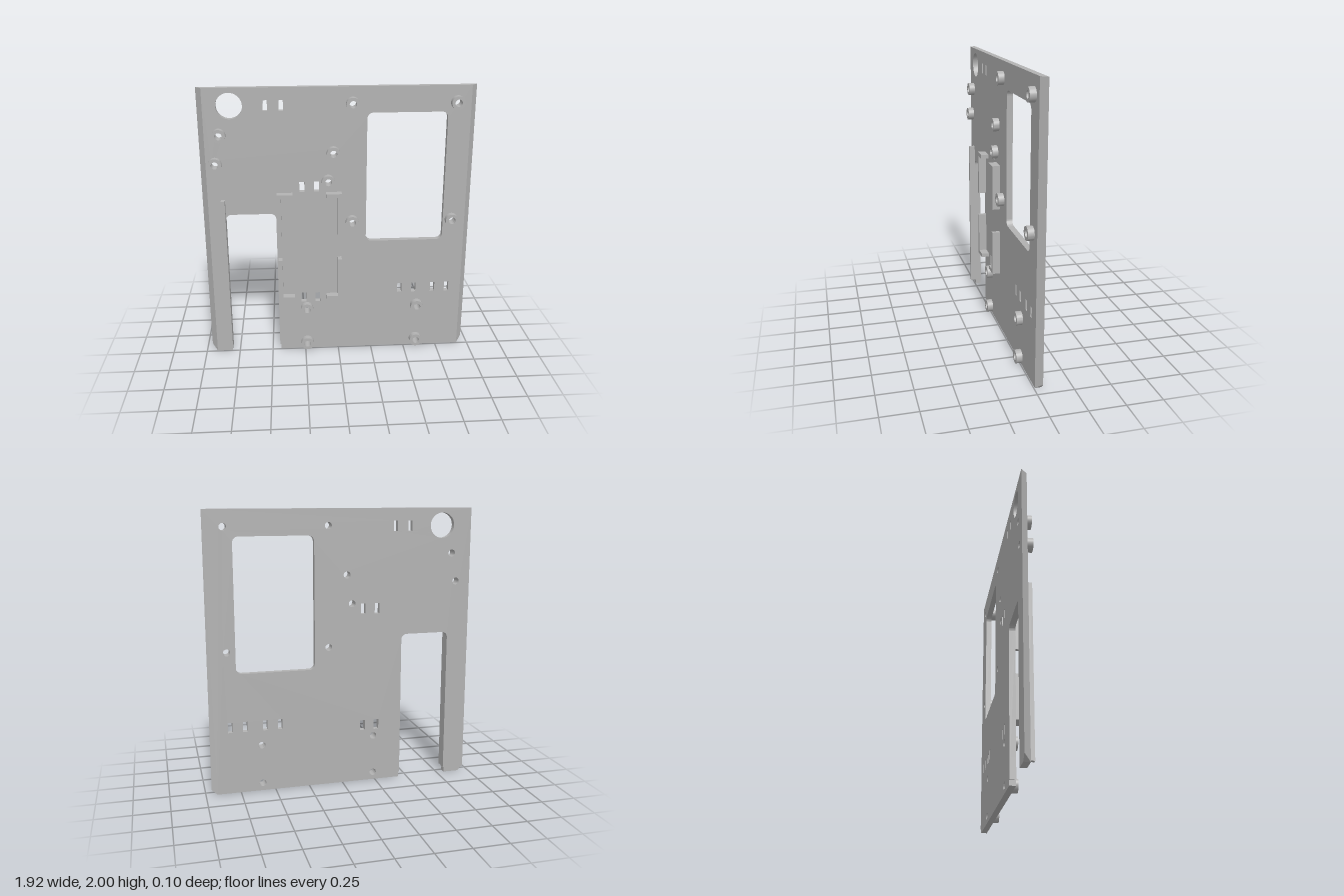
import * as THREE from 'three';
import { toCreasedNormals } from 'three/addons/utils/BufferGeometryUtils.js';

const BACK = -0.05, FACE = -0.007;   // plate's rear and front planes
const LOW = 0.036, HIGH = 0.05;      // front of the standoffs/rail and of the brackets

const grey = new THREE.MeshStandardMaterial({ color: 0xb2b2b2 });
grey.name = 'grey';

const standoffs = [
  [0.1, 1.883], [0.823, 1.883], [0.1, 1.028], [0.823, 1.028],
  [-0.818, 1.677], [-0.855, 1.473], [-0.034, 1.54], [-0.071, 1.335],
  [-0.235, 0.342], [0.593, 0.342], [-0.235, 0.056], [0.593, 0.056],
];

// width, centre x list and centre y of each row of cable slots
const slotRows = [
  [0.03, [-0.498, -0.39], 1.876],
  [0.036, [-0.257, -0.153], 1.296],
  [0.036, [-0.257, -0.153], 0.43],
  [0.032, [0.46, 0.566, 0.709, 0.815], 0.488],
];

const polygon = (points) => new THREE.Shape(points.map(([x, y]) => new THREE.Vector2(x, y)));

function circle(x, y, r) {
  return new THREE.Path().absarc(x, y, r, 0, Math.PI * 2, true);
}

function rectangle(x0, y0, x1, y1, r = 0) {
  const p = new THREE.Path();
  if (!r) return p.moveTo(x0, y0).lineTo(x0, y1).lineTo(x1, y1).lineTo(x1, y0).closePath();
  p.absarc(x0 + r, y0 + r, r, Math.PI * 1.5, Math.PI, true);
  p.absarc(x0 + r, y1 - r, r, Math.PI, Math.PI / 2, true);
  p.absarc(x1 - r, y1 - r, r, Math.PI / 2, 0, true);
  p.absarc(x1 - r, y0 + r, r, 0, -Math.PI / 2, true);
  return p.closePath();
}

function slab(shape, z0, z1) {
  const g = new THREE.ExtrudeGeometry(shape, { depth: z1 - z0, bevelEnabled: false, curveSegments: 16 });
  return g.translate(0, 0, z0);
}

function mesh(name, geometry) {
  const m = new THREE.Mesh(toCreasedNormals(geometry, 0.6), grey);
  m.name = name;
  return m;
}

// Plate with a deep open slot in the bottom edge, a window and drilled holes
function plate() {
  const s = new THREE.Shape();
  s.moveTo(-0.96, 2).lineTo(-0.96, 0.04).lineTo(-0.92, 0).lineTo(-0.806, 0);
  s.lineTo(-0.806, 0.036).lineTo(-0.8, 0.036);
  s.absarc(-0.76, 1.058, 0.04, Math.PI, Math.PI / 2, true);
  s.absarc(-0.484, 1.058, 0.04, Math.PI / 2, 0, true);
  s.lineTo(-0.444, 0.036).lineTo(-0.436, 0.036).lineTo(-0.436, 0);
  s.lineTo(0.92, 0).lineTo(0.96, 0.04).lineTo(0.96, 2).closePath();

  s.holes.push(circle(-0.74, 1.876, 0.09));
  s.holes.push(rectangle(0.201, 0.872, 0.762, 1.818, 0.042));
  for (const [x, y] of standoffs) s.holes.push(circle(x, y, 0.025));
  for (const [w, xs, y] of slotRows) {
    for (const x of xs) s.holes.push(rectangle(x - w / 2, y - 0.037, x + w / 2, y + 0.037));
  }

  // Slope the two long sides inwards towards the front
  const g = slab(s, BACK, FACE), p = g.attributes.position;
  for (let i = 0; i < p.count; i++) {
    if (p.getZ(i) > -0.02 && Math.abs(p.getX(i)) > 0.93) {
      p.setX(i, Math.sign(p.getX(i)) * 0.92);
      if (p.getY(i) < 0.1) p.setY(i, 0);
    }
  }
  g.computeVertexNormals();
  return mesh('plate', g);
}

export function createModel() {
  const model = new THREE.Group();
  model.name = 'mountingPlate';
  model.add(plate());

  // Hollow screw standoffs
  for (const [x, y] of standoffs) {
    const ring = new THREE.Shape().absarc(x, y, 0.047, 0, Math.PI * 2, false);
    ring.holes.push(circle(x, y, 0.025));
    model.add(mesh('standoff', slab(ring, FACE, LOW)));
  }

  // Guide rail along the open slot
  const rail = polygon([[-0.828, 0.038], [-0.8, 0.038], [-0.8, 1.211], [-0.828, 1.211]]);
  model.add(mesh('guideRail', slab(rail, FACE, LOW)));

  // Four L-shaped corner brackets, mirrored about their common centre
  const cx = -0.206, cy = 0.843, w = 0.23, h = 0.411, t = 0.028;
  for (const sx of [-1, 1]) for (const sy of [-1, 1]) {
    const corner = [[w, 0.088], [w, h], [w - 0.112, h], [w - 0.112, h - t], [w - t, h - t], [w - t, 0.088]];
    const shape = polygon(corner.map(([x, y]) => [cx + sx * x, cy + sy * y]));
    model.add(mesh('cornerBracket', slab(shape, FACE, HIGH)));
  }
  return model;
}
